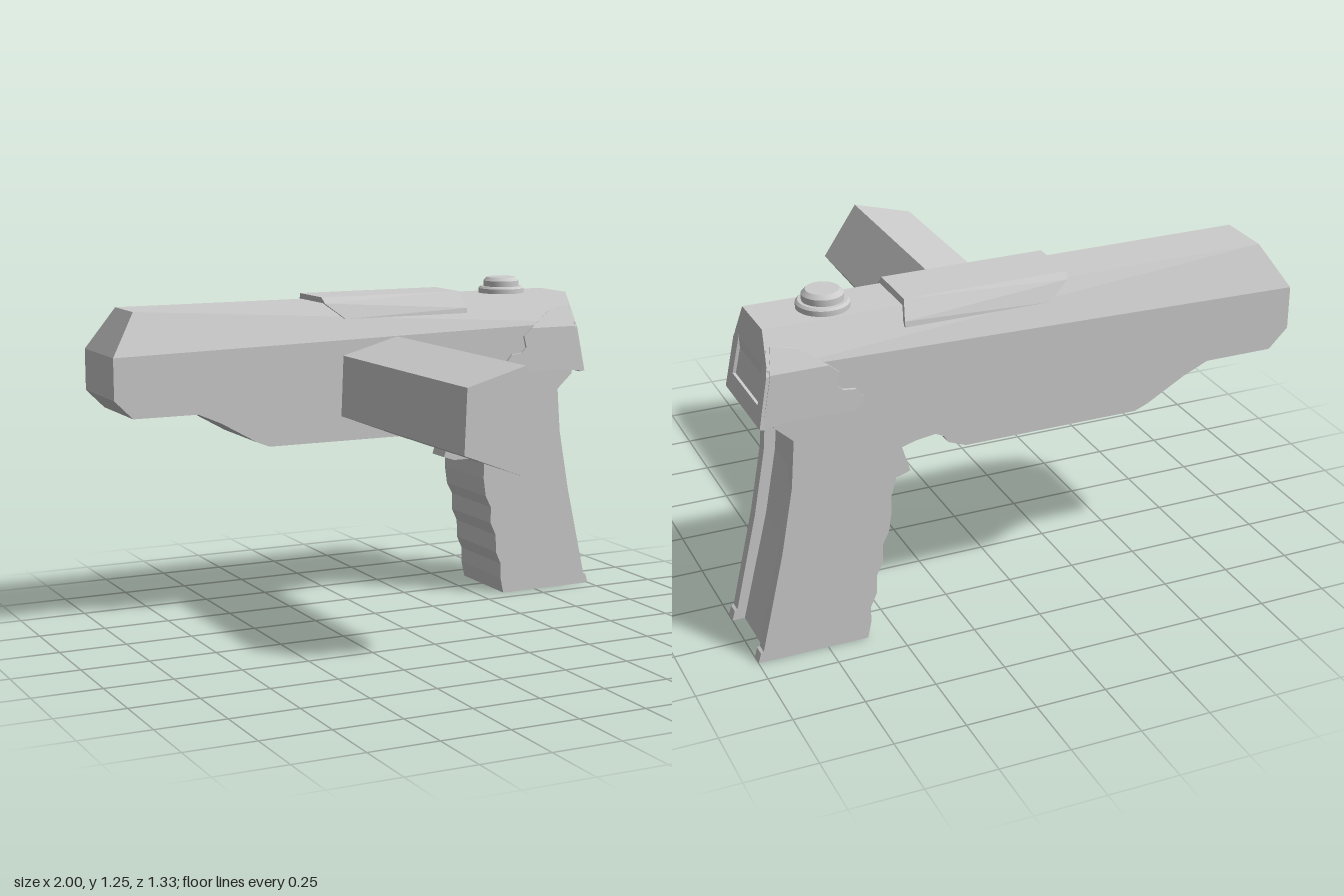
import * as THREE from 'three';
import { ConvexGeometry } from 'three/addons/geometries/ConvexGeometry.js';
import { toCreasedNormals } from 'three/addons/utils/BufferGeometryUtils.js';

const ZC = -0.485; // middle plane of the body
const HALF = 0.165; // half width of the body

const flat = new THREE.MeshStandardMaterial({ color: 0xcccccc, flatShading: true });
const smooth = new THREE.MeshStandardMaterial({ color: 0xcccccc });

const shapeOf = (pts) => new THREE.Shape(pts.map(([x, y]) => new THREE.Vector2(x, y)));

function addMesh(group, name, geometry, material = flat) {
  const mesh = new THREE.Mesh(geometry, material);
  mesh.name = name;
  group.add(mesh);
  return mesh;
}

// Side outline extruded between two z values
function slab(pts, z0, z1) {
  const g = new THREE.ExtrudeGeometry(shapeOf(pts), { depth: z1 - z0, bevelEnabled: false });
  return g.translate(0, 0, z0);
}

// Side outline whose half width varies with height
function taperedSlab(pts, halfWidth) {
  const g = slab(pts, -1, 1);
  const p = g.attributes.position;
  for (let i = 0; i < p.count; i++) p.setZ(i, ZC + p.getZ(i) * halfWidth(p.getY(i)));
  g.computeVertexNormals();
  return g;
}

// Convex solid from rows of [x, y, half width], mirrored about the middle plane
function mirroredHull(rows) {
  return new ConvexGeometry(rows.flatMap(([x, y, h]) =>
    [-1, 1].map((s) => new THREE.Vector3(x, y, ZC + s * h))));
}

export function createModel() {
  const model = new THREE.Group();
  model.name = 'model';

  // Body and grip, with finger waves in front and a recessed back strap
  addMesh(model, 'bodyAndGrip', slab([
    [-1, 1.035], [-1, 0.88], [-0.93, 0.81], [-0.68, 0.81], [-0.59, 0.77], [-0.45, 0.69],
    [-0.4, 0.67], [0.24, 0.67], [0.305, 0.695], [0.32, 0.72], [0.35, 0.735], [0.42, 0.725],
    [0.49, 0.705], [0.493, 0.6], [0.512, 0.53], [0.512, 0.47], [0.522, 0.4], [0.545, 0.355],
    [0.545, 0.29], [0.568, 0.24], [0.57, 0.17], [0.592, 0.12], [0.592, 0.06], [0.605, 0],
    [0.955, 0], [0.86, 0.4], [0.818, 0.64], [0.805, 0.81], [0.845, 0.81], [0.91, 0.87],
    [0.925, 1.075],
  ], ZC - HALF, ZC + HALF));

  // Bevelled upper body
  addMesh(model, 'upperBody', mirroredHull([
    [-1, 1.035, HALF], [0.925, 1.075, HALF], [-0.9, 1.19, 0.1], [0.915, 1.19, 0.1],
  ]));

  // Raised rails along both edges of the grip's back
  const rail = [
    [0.94, 0], [1, 0], [0.99, 0.035], [0.98, 0.04], [0.9, 0.4], [0.858, 0.64],
    [0.845, 0.82], [0.79, 0.82], [0.81, 0.64], [0.85, 0.4],
  ];
  addMesh(model, 'leftGripRail', slab(rail, ZC + 0.123, ZC + HALF));
  addMesh(model, 'rightGripRail', slab(rail, ZC - HALF, ZC - 0.123));

  // Trigger
  addMesh(model, 'trigger', slab([
    [0.445, 0.74], [0.43, 0.66], [0.395, 0.55], [0.44, 0.535], [0.52, 0.535], [0.52, 0.74],
  ], ZC - 0.05, ZC + 0.05));

  // Rear cap wrapping the back of the body
  const cap = new THREE.Group();
  cap.name = 'rearCap';
  model.add(cap);
  addMesh(cap, 'capLower', taperedSlab([
    [0.64, 0.885], [0.85, 0.89], [0.945, 0.88], [0.943, 0.92], [0.917, 1.06], [0.72, 1.06],
    [0.685, 1.03], [0.695, 0.985], [0.675, 0.965], [0.63, 0.96], [0.605, 0.93], [0.61, 0.9],
  ], (y) => 0.178 - (y - 0.88) * 0.03));
  addMesh(cap, 'capUpper', taperedSlab([
    [0.72, 1.06], [0.917, 1.06], [0.903, 1.14], [0.88, 1.138], [0.81, 1.122],
  ], (y) => 0.1726 - (y - 1.06) * 0.5));

  // Frame around the recessed rear panel, leaning forward
  const frame = shapeOf([
    [-0.178, 0], [0.178, 0], [0.175, 0.06], [0.17, 0.18], [0.13, 0.265], [-0.13, 0.265],
    [-0.17, 0.18], [-0.175, 0.06],
  ]);
  frame.holes.push(shapeOf([[-0.13, 0.065], [-0.12, 0.235], [0.12, 0.235], [0.13, 0.065]]));
  const frameGeo = new THREE.ExtrudeGeometry(frame, { depth: 0.02, bevelEnabled: false });
  frameGeo.rotateY(Math.PI / 2).rotateZ(0.18).translate(0.942, 0.876, ZC);
  addMesh(cap, 'panelFrame', frameGeo);

  // Plate draped over the top bevels
  addMesh(model, 'topPlate', mirroredHull([
    [-0.075, 1.13, 0.143], [0.445, 1.13, 0.143], [-0.15, 1.19, 0.118], [0.445, 1.15, 0.14],
    [-0.155, 1.212, 0.1], [0.432, 1.212, 0.1],
  ]));

  // Round button on top
  const knob = new THREE.LatheGeometry([
    [0, 1.18], [0.09, 1.18], [0.09, 1.208], [0.082, 1.216], [0.07, 1.216], [0.07, 1.238],
    [0.056, 1.252], [0, 1.252],
  ].map(([r, y]) => new THREE.Vector2(r, y)), 32);
  addMesh(model, 'topButton', toCreasedNormals(knob, 0.5), smooth).position.set(0.675, 0, ZC);

  // Five-sided side bar
  addMesh(model, 'sideBar', slab([
    [-0.095, 0.995], [-0.105, 0.765], [0.115, 0.68], [0.258, 0.865], [0.13, 1.057],
  ], ZC, 0.663));

  return model;
}
